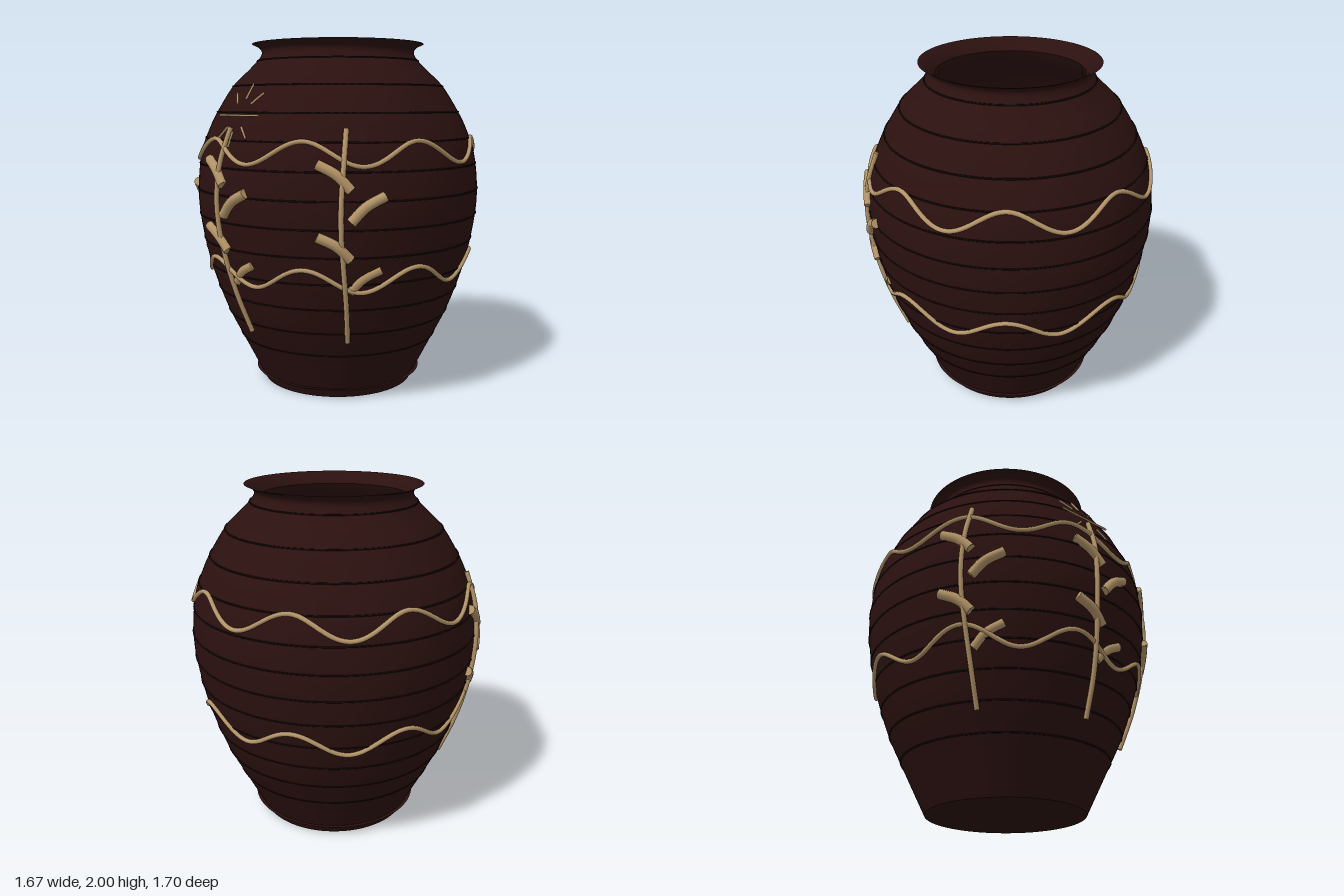
import * as THREE from 'three';
import { mergeGeometries } from 'three/addons/utils/BufferGeometryUtils.js';

const CENTER_Z = -0.015;

// Outer silhouette of the pot: [radius, height]
const profile = [
  [0.45, 0], [0.535, 0.17], [0.595, 0.29], [0.65, 0.4], [0.7, 0.52], [0.76, 0.7], [0.802, 0.88],
  [0.83, 1.08], [0.826, 1.25], [0.802, 1.4], [0.765, 1.5], [0.717, 1.6], [0.62, 1.755], [0.525, 1.85],
  [0.468, 1.91], [0.448, 1.95], [0.465, 1.98], [0.505, 2],
].map(([r, y]) => new THREE.Vector2(r, y));
const outline = new THREE.SplineCurve(profile).getPoints(100);

// Radius of the pot wall at a given height
function wallRadius(y) {
  const i = Math.max(1, outline.findIndex((p) => p.y >= y));
  const a = outline[i - 1], b = outline[i];
  return THREE.MathUtils.mapLinear(y, a.y, b.y, a.x, b.x);
}

// Point on the pot wall; the angle runs from the front towards +x
function onWall(angle, y, offset = 0) {
  const r = wallRadius(y) + offset;
  return new THREE.Vector3(Math.sin(angle) * r, y, Math.cos(angle) * r);
}

// Round rod along a smooth curve, with flat end caps when open
function rod(points, radius, segments, closed = false) {
  const curve = new THREE.CatmullRomCurve3(points, closed);
  const parts = [new THREE.TubeGeometry(curve, segments, radius, 10, closed)];
  if (!closed) {
    for (const t of [0, 1]) {
      const dir = curve.getTangent(t).multiplyScalar(t ? 1 : -1);
      const cap = new THREE.CircleGeometry(radius, 10);
      cap.applyQuaternion(new THREE.Quaternion().setFromUnitVectors(new THREE.Vector3(0, 0, 1), dir));
      const p = curve.getPoint(t);
      parts.push(cap.translate(p.x, p.y, p.z));
    }
  }
  return mergeGeometries(parts);
}

export function createModel() {
  const clay = new THREE.MeshStandardMaterial({ name: 'dark brown clay', color: 0x2b1110 });
  const groove = new THREE.MeshStandardMaterial({ name: 'blackened groove', color: 0x170808 });
  const tan = new THREE.MeshStandardMaterial({ name: 'tan relief', color: 0xb39468 });

  const model = new THREE.Group();
  model.name = 'vase';
  model.position.z = CENTER_Z;
  const add = (name, geometry, material, parent = model) => {
    const mesh = new THREE.Mesh(geometry, material);
    mesh.name = name;
    parent.add(mesh);
    return mesh;
  };
  const lathe = (points) => new THREE.LatheGeometry(points, 96);
  const v2 = (x, y) => new THREE.Vector2(x, y);

  // Pot: outer wall, base, and the flared lip running into the hollow inside
  add('outerWall', lathe(outline), clay);
  add('base', lathe([v2(0, 0), v2(0.45, 0)]), clay);
  add('lip', lathe([v2(0.505, 2), v2(0.48, 1.992), v2(0.44, 1.965), v2(0.415, 1.935)]), clay);
  const inside = [v2(0.415, 1.935)];
  for (let y = 1.86; y > 0.06; y -= 0.1) inside.push(v2(wallRadius(y) - 0.06, y));
  add('innerWall', lathe(inside), clay);
  add('innerFloor', lathe([v2(0.5, 0.06), v2(0, 0.06)]), clay);

  // Thin throwing rings around the wall
  for (let i = 0; i < 12; i++) {
    const y = 0.29 + i * 0.1465;
    const ring = add('throwingRing', new THREE.TorusGeometry(wallRadius(y), 0.005, 6, 96), groove);
    ring.rotation.x = Math.PI / 2;
    ring.position.y = y;
  }

  // Two wavy bands of eight waves each
  for (const [name, height] of [['upperWavyBand', 1.405], ['lowerWavyBand', 0.747]]) {
    const points = [];
    for (let i = 0; i < 96; i++) {
      const a = (i / 96) * Math.PI * 2;
      points.push(onWall(a, height - 0.062 * Math.sin(8 * a), 0.006));
    }
    add(name, rod(points, 0.0125, 288, true), tan);
  }

  // Three leafy sprigs across the front
  const stem = [[-0.025, 1.53], [-0.045, 1.35], [-0.06, 1.17], [-0.06, 1], [-0.042, 0.8], [-0.02, 0.6], [0, 0.39]];
  const leaves = [
    { side: -1, base: 1.225, rise: 0.13, offset: 0.006 },
    { side: 1, base: 1.065, rise: 0.13, offset: 0.006 },
    { side: -1, base: 0.87, rise: 0.12, offset: 0.006 },
    { side: 1, base: 0.69, rise: 0.12, offset: -0.014 },
  ];
  for (const turn of [-0.9, 0, 0.9]) {
    const sprig = new THREE.Group();
    sprig.name = 'sprig';
    sprig.rotation.y = turn;
    model.add(sprig);
    add('stem', rod(stem.map(([a, y]) => onWall(a, y, 0.012)), 0.014, 40), tan, sprig);
    for (const { side, base, rise, offset } of leaves) {
      const path = [[0, 0], [0.09, 0.6], [0.21, 1]]
        .map(([a, t]) => onWall(side * a, base + rise * t, offset));
      add('leaf', rod(path, 0.028, 12), tan, sprig);
    }
  }

  // Sunburst above the middle sprig: one long bar and six short rays
  const burst = new THREE.Group();
  burst.name = 'sunburst';
  model.add(burst);
  const cy = 1.593;
  add('longBar', rod([new THREE.Vector3(-0.172, cy, 0.724), new THREE.Vector3(0.172, cy, 0.724)], 0.006, 1), tan, burst);
  for (let i = 0; i < 8; i++) {
    if (i % 4 === 0) continue;
    const a = (i * Math.PI) / 4;
    const path = [0.085, 0.168].map((d) => {
      const x = Math.cos(a) * d, y = cy + Math.sin(a) * d;
      return onWall(Math.asin(x / wallRadius(y)), y, 0.004);
    });
    add('shortRay', rod(path, 0.006, 1), tan, burst);
  }
  return model;
}
